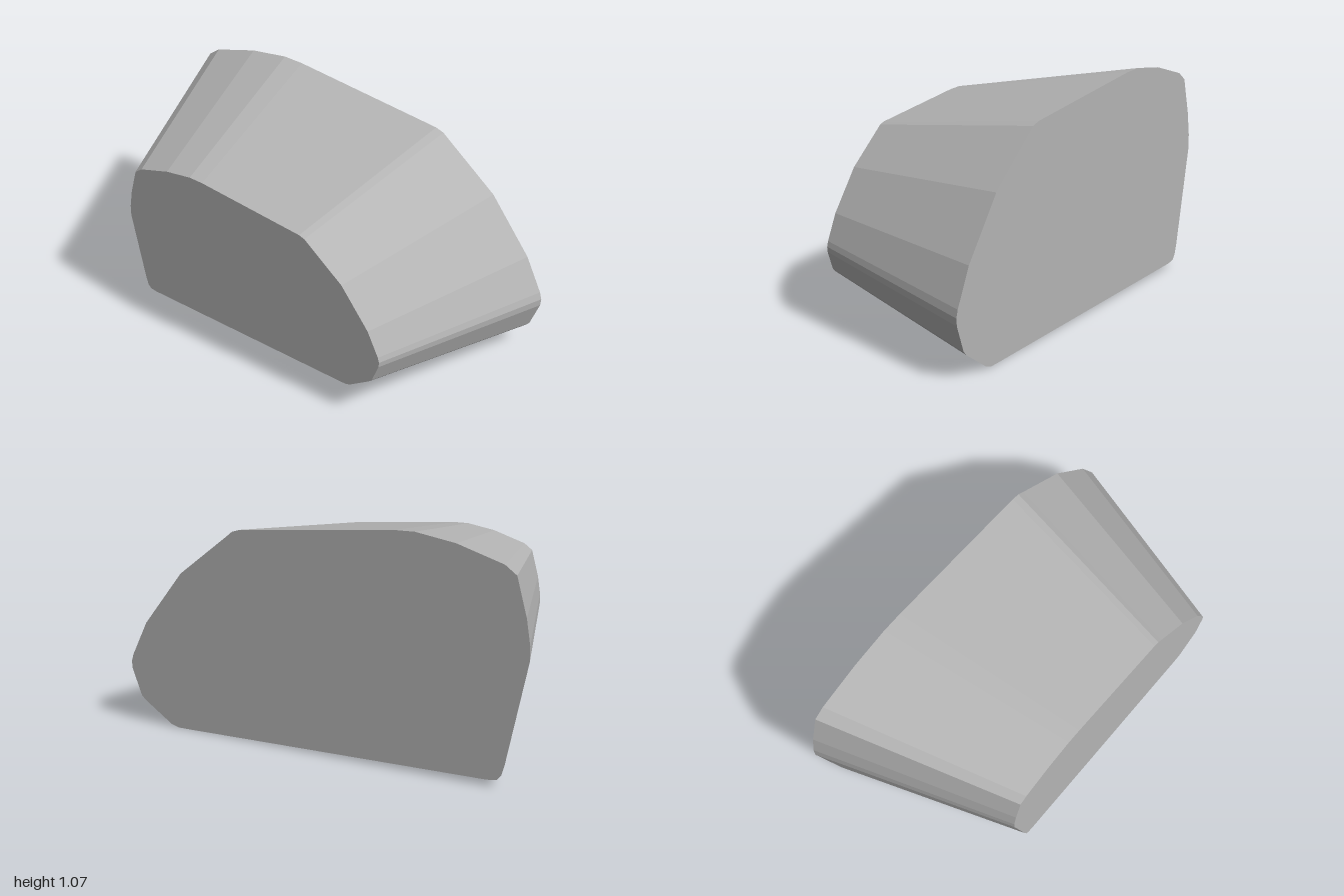
import * as THREE from 'three';

// Outline of the large back face, clockwise from the lower left corner
const OUTLINE = [
  [-0.82, 0.03], [-0.865, 0.037], [-0.885, 0.06], [-0.9, 0.11],
  [-1, 0.58], [-1, 0.65], [-0.982, 0.765], [-0.935, 0.94], [-0.88, 0.98],
  [-0.66, 1.045], [-0.47, 1.073], [-0.37, 1.07], [0.39, 0.988], [0.43, 0.975],
  [0.46, 0.95], [0.71, 0.75], [0.91, 0.49], [0.99, 0.325], [1, 0.29], [0.997, 0.255],
  [0.95, 0.13], [0.93, 0.11], [0.785, 0.012], [0.75, 0.002], [0.7, 0.002],
];
const DEPTH = 0.9;
const TAPER = 0.7; // front size relative to back
const CENTRE = { x: 0.055, y: 0.532 }; // point the sides narrow towards

export function createModel() {
  const group = new THREE.Group();
  group.name = 'taperedBlock';

  const grey = new THREE.MeshStandardMaterial({ color: 0xb4b4b4, flatShading: true });
  grey.name = 'stone grey';

  // Straight prism, then narrowed evenly from back to front
  const shape = new THREE.Shape(OUTLINE.map(([x, y]) => new THREE.Vector2(x, y)));
  const geometry = new THREE.ExtrudeGeometry(shape, { depth: DEPTH, bevelEnabled: false });
  const pos = geometry.attributes.position;
  for (let i = 0; i < pos.count; i++) {
    const z = pos.getZ(i);
    const s = 1 - (1 - TAPER) * (z / DEPTH);
    pos.setXYZ(
      i,
      CENTRE.x + (pos.getX(i) - CENTRE.x) * s,
      CENTRE.y + (pos.getY(i) - CENTRE.y) * s,
      z - DEPTH / 2,
    );
  }
  geometry.computeVertexNormals();

  const body = new THREE.Mesh(geometry, grey);
  body.name = 'body';
  group.add(body);
  return group;
}
